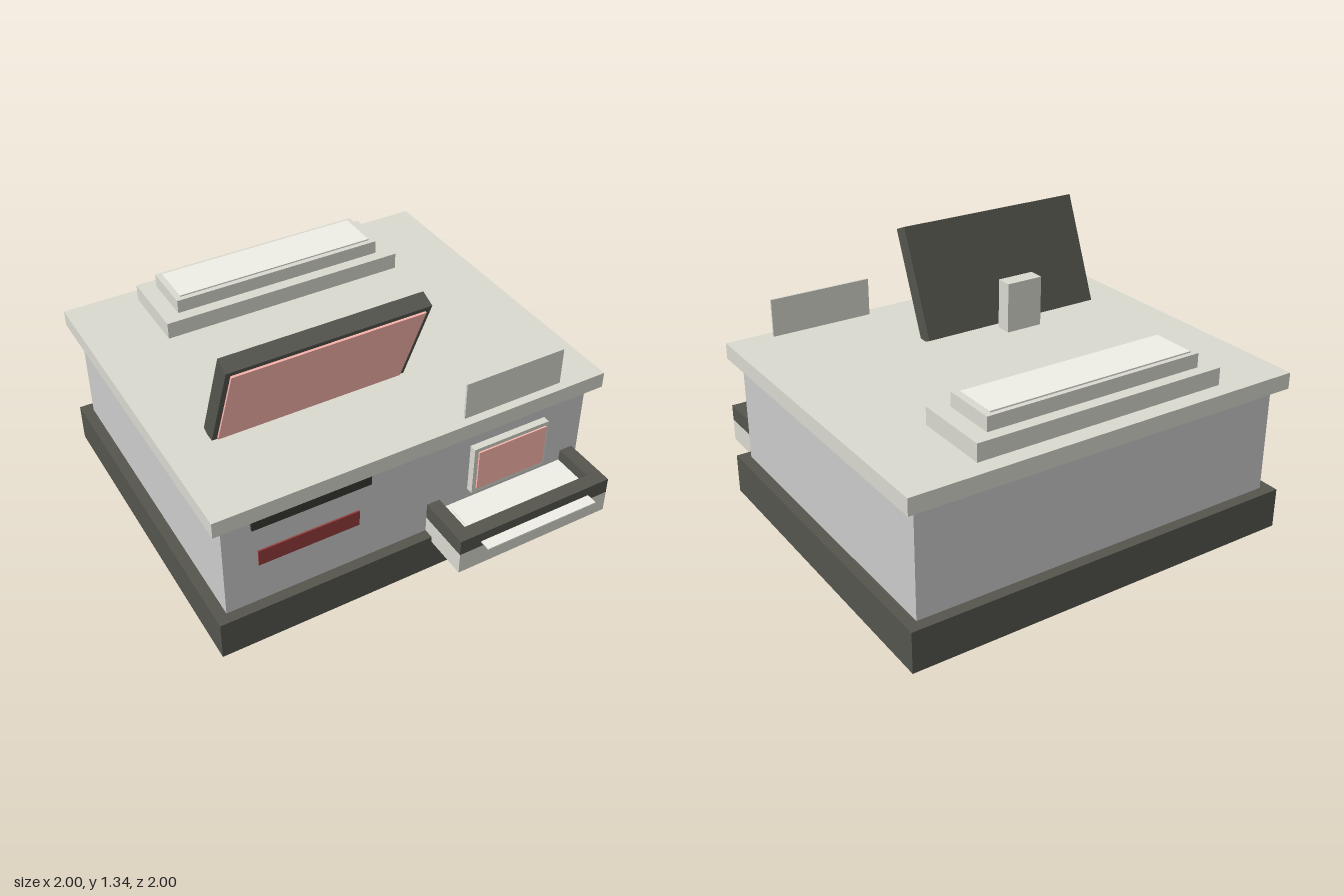
import * as THREE from 'three';

const mat = (color) => new THREE.MeshStandardMaterial({ color });

export function createModel() {
  const model = new THREE.Group();
  const grey = mat(0xcccccc), stone = mat(0xd9d9d0), pale = mat(0xf0efe6);
  const dark = mat(0x55554e), black = mat(0x383832);
  const red = mat(0x943d3a), pink = mat(0xffb8b0);

  // Box given by its extents along each axis
  function box(name, material, [x0, x1], [y0, y1], [z0, z1], parent = model) {
    const mesh = new THREE.Mesh(new THREE.BoxGeometry(x1 - x0, y1 - y0, z1 - z0), material);
    mesh.position.set((x0 + x1) / 2, (y0 + y1) / 2, (z0 + z1) / 2);
    mesh.name = name;
    parent.add(mesh);
    return mesh;
  }

  // Cabinet
  box('base', dark, [-1, 1], [0, 0.2], [-1, 0.72]);
  box('body', grey, [-0.945, 0.945], [0.2, 0.73], [-0.945, 0.667]);
  box('counterTop', stone, [-1, 1], [0.73, 0.81], [-1, 0.72]);

  // Stepped platform with a window at the rear of the counter
  box('platformLower', stone, [-0.64, 0.637], [0.81, 0.895], [-0.917, -0.53]);
  box('platformUpper', stone, [-0.557, 0.553], [0.895, 0.964], [-0.86, -0.59]);
  box('platformWindow', pale, [-0.53, 0.525], [0.964, 0.971], [-0.837, -0.617]);

  // Monitor leaning forward
  const monitor = new THREE.Group();
  monitor.name = 'monitor';
  monitor.position.set(-0.293, 1.065, 0.318);
  monitor.rotation.x = 0.39;
  model.add(monitor);
  box('monitorCase', dark, [-0.487, 0.487], [-0.276, 0.276], [-0.04, 0.04], monitor);
  box('monitorScreen', pink, [-0.463, 0.46], [-0.249, 0.249], [0.04, 0.05], monitor);
  box('monitorStand', stone, [-0.39, -0.197], [0.81, 1.06], [0.085, 0.166]);

  // Thin upright card on the front edge
  box('card', stone, [0.252, 0.776], [0.81, 1.0], [0.665, 0.676]);

  // Front panel details
  box('slot', black, [-0.807, -0.225], [0.64, 0.73], [0.66, 0.68]);
  box('redStrip', red, [-0.78, -0.282], [0.42, 0.503], [0.66, 0.675]);
  box('displayFrame', stone, [0.304, 0.718], [0.36, 0.624], [0.66, 0.703]);
  box('displayScreen', pink, [0.325, 0.703], [0.385, 0.604], [0.703, 0.711]);

  // Output tray with a U-shaped rim
  const tray = new THREE.Group();
  tray.name = 'outputTray';
  model.add(tray);
  box('trayBottom', stone, [0.082, 0.915], [0.17, 0.282], [0.66, 0.944], tray);
  box('trayFloor', pale, [0.15, 0.845], [0.282, 0.304], [0.66, 0.872], tray);
  const rim = new THREE.Shape([
    [0.082, 0.66], [0.082, 0.944], [0.915, 0.944], [0.915, 0.66],
    [0.845, 0.66], [0.845, 0.872], [0.15, 0.872], [0.15, 0.66],
  ].map(([x, z]) => new THREE.Vector2(x, -z)));
  const rimGeo = new THREE.ExtrudeGeometry(rim, { depth: 0.081, bevelEnabled: false });
  rimGeo.rotateX(-Math.PI / 2);
  const rimMesh = new THREE.Mesh(rimGeo, dark);
  rimMesh.name = 'trayRim';
  rimMesh.position.y = 0.282;
  tray.add(rimMesh);
  box('paper', pale, [0.195, 0.803], [0.306, 0.313], [0.7, 1.0], tray);

  return model;
}
